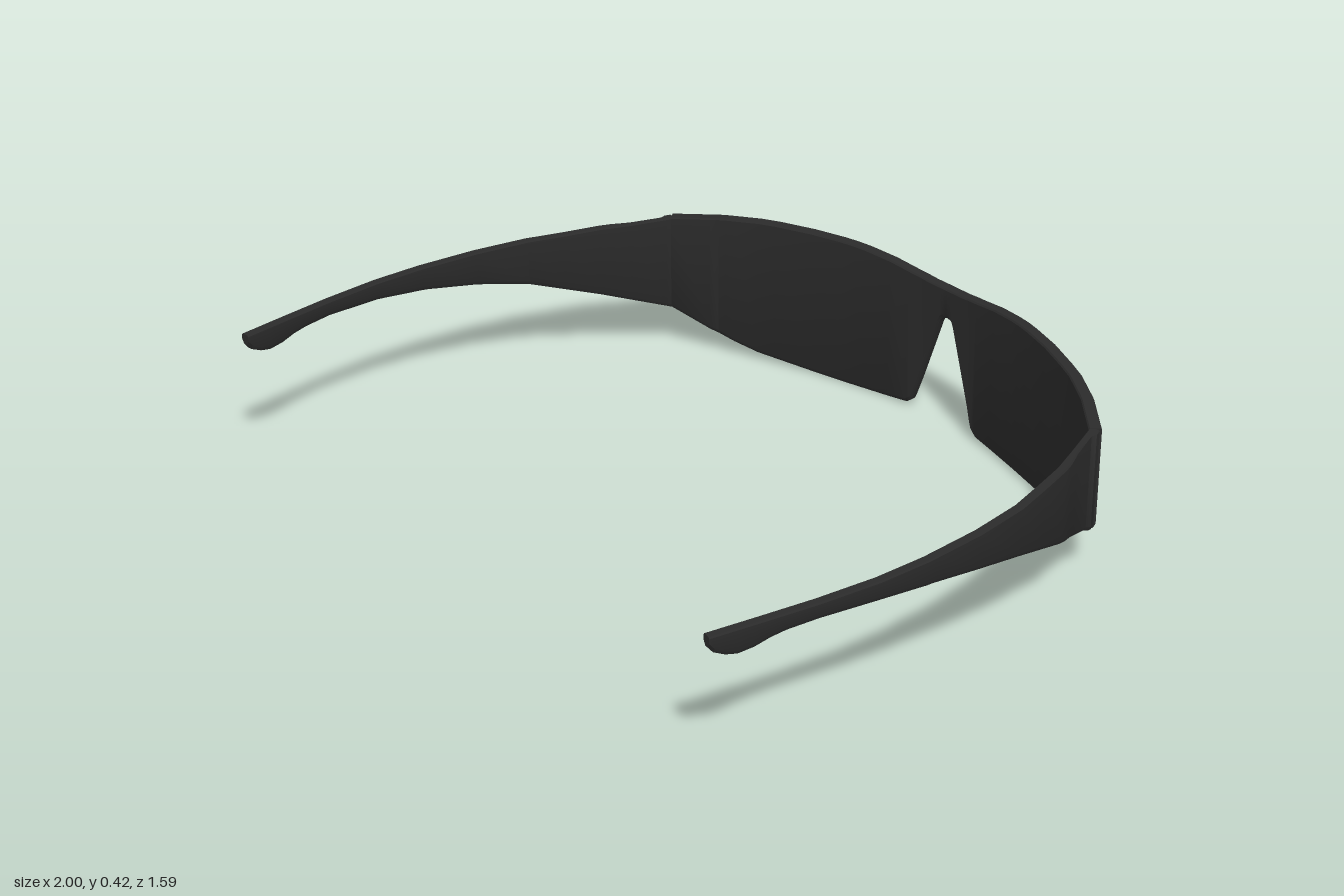
import * as THREE from 'three';
import { toCreasedNormals } from 'three/addons/utils/BufferGeometryUtils.js';

// Linear lookup in a list of [key, value] pairs.
function lookup(table, k) {
  if (k <= table[0][0]) return table[0][1];
  for (let i = 1; i < table.length; i++) {
    const [a, va] = table[i - 1], [b, vb] = table[i];
    if (k <= b) return va + (vb - va) * (k - a) / (b - a);
  }
  return table[table.length - 1][1];
}

// Curved upright band with softened edges.
// Stations: { x, z, top, bottom, outer, inner }, with the last two as offsets from the path.
function band(stations) {
  const pos = [], index = [], N = 8;
  stations.forEach((s, i) => {
    const p = stations[Math.max(i - 1, 0)], q = stations[Math.min(i + 1, stations.length - 1)];
    const len = Math.hypot(q.x - p.x, q.z - p.z);
    const nx = (q.z - p.z) / len, nz = -(q.x - p.x) / len;
    const o = s.outer, n = -s.inner, e = 0.007, r = 0.012;
    const ring = [
      [o - e, s.bottom], [o, s.bottom + r], [o, s.top - 0.004], [o - 0.003, s.top],
      [n + 0.003, s.top], [n, s.top - 0.004], [n, s.bottom + r], [n + e, s.bottom],
    ];
    for (const [d, y] of ring) pos.push(s.x + nx * d, y, s.z + nz * d);
  });
  const last = (stations.length - 1) * N;
  for (let c = 0; c < last; c += N) {
    for (let i = 0; i < N; i++) {
      const j = (i + 1) % N;
      index.push(c + i, c + j, c + N + j, c + i, c + N + j, c + N + i);
    }
  }
  for (let i = 1; i < N - 1; i++) index.push(0, i + 1, i, last, last + i, last + i + 1);
  const g = new THREE.BufferGeometry();
  g.setAttribute('position', new THREE.Float32BufferAttribute(pos, 3));
  g.setIndex(index);
  return toCreasedNormals(g, 0.6);
}

// Mirror half a band to the other side, keeping the direction of travel.
const mirrored = (list) => list.map((s) => ({ ...s, x: -s.x })).reverse();

export function createModel() {
  const model = new THREE.Group();
  model.name = 'wraparoundGlasses';
  const black = new THREE.MeshStandardMaterial({ color: 0x2b2b2b });
  black.name = 'matte black';
  const add = (name, stations) => {
    const mesh = new THREE.Mesh(band(stations), black);
    mesh.name = name;
    model.add(mesh);
  };

  // Visor: plan curve, brow line and lower rim with the nose notch
  const plan = [[0, -0.782], [0.1, -0.776], [0.2, -0.762], [0.32, -0.735], [0.45, -0.695],
    [0.6, -0.632], [0.7, -0.573], [0.808, -0.49]];
  const brow = [[0, 0.396], [0.06, 0.398], [0.12, 0.404], [0.2, 0.415], [0.28, 0.424], [0.36, 0.428],
    [0.55, 0.428], [0.68, 0.421], [0.808, 0.409]];
  const rim = [[0, 0.311], [0.014, 0.308], [0.024, 0.3], [0.032, 0.283], [0.115, 0.04], [0.121, 0.026],
    [0.135, 0.016], [0.2, 0.01], [0.32, 0.007], [0.45, 0.012], [0.6, 0.03], [0.66, 0.052],
    [0.72, 0.08], [0.808, 0.137]];
  const xs = [...new Set([...plan, ...brow, ...rim].map((p) => p[0]))].sort((a, b) => a - b);
  const half = xs.map((x) => ({
    x, z: lookup(plan, x), top: lookup(brow, x), bottom: lookup(rim, x), outer: 0.016, inner: 0.016,
  }));
  add('visor', [...mirrored(half.slice(1)), ...half]);

  // Temples: sideways bow, tapering height, shallow recess behind the hinge, drooping ear tip
  const bow = [[-0.488, 0.806], [-0.3, 0.887], [-0.1, 0.949], [0.05, 0.974], [0.22, 0.987],
    [0.36, 0.986], [0.52, 0.97], [0.66, 0.949], [0.793, 0.928]];
  const upper = [[-0.488, 0.408], [-0.38, 0.402], [-0.2, 0.398], [0.793, 0.396]];
  const lower = [[-0.488, 0.135], [-0.3, 0.2], [-0.1, 0.268], [0.05, 0.302], [0.2, 0.328], [0.36, 0.346],
    [0.52, 0.354], [0.6, 0.351], [0.64, 0.345], [0.68, 0.334], [0.72, 0.33], [0.75, 0.337],
    [0.78, 0.352], [0.793, 0.368]];
  const face = [[-0.488, 0.014], [-0.472, 0.014], [-0.462, 0.005], [-0.38, 0.006], [-0.33, 0.012]];
  const zs = [...new Set([...bow, ...upper, ...lower, ...face].map((p) => p[0]))].sort((a, b) => a - b);
  const temple = zs.map((z) => ({
    x: lookup(bow, z), z, top: lookup(upper, z), bottom: lookup(lower, z),
    outer: lookup(face, z), inner: 0.012,
  }));
  add('leftTemple', temple);
  add('rightTemple', mirrored(temple));

  return model;
}
